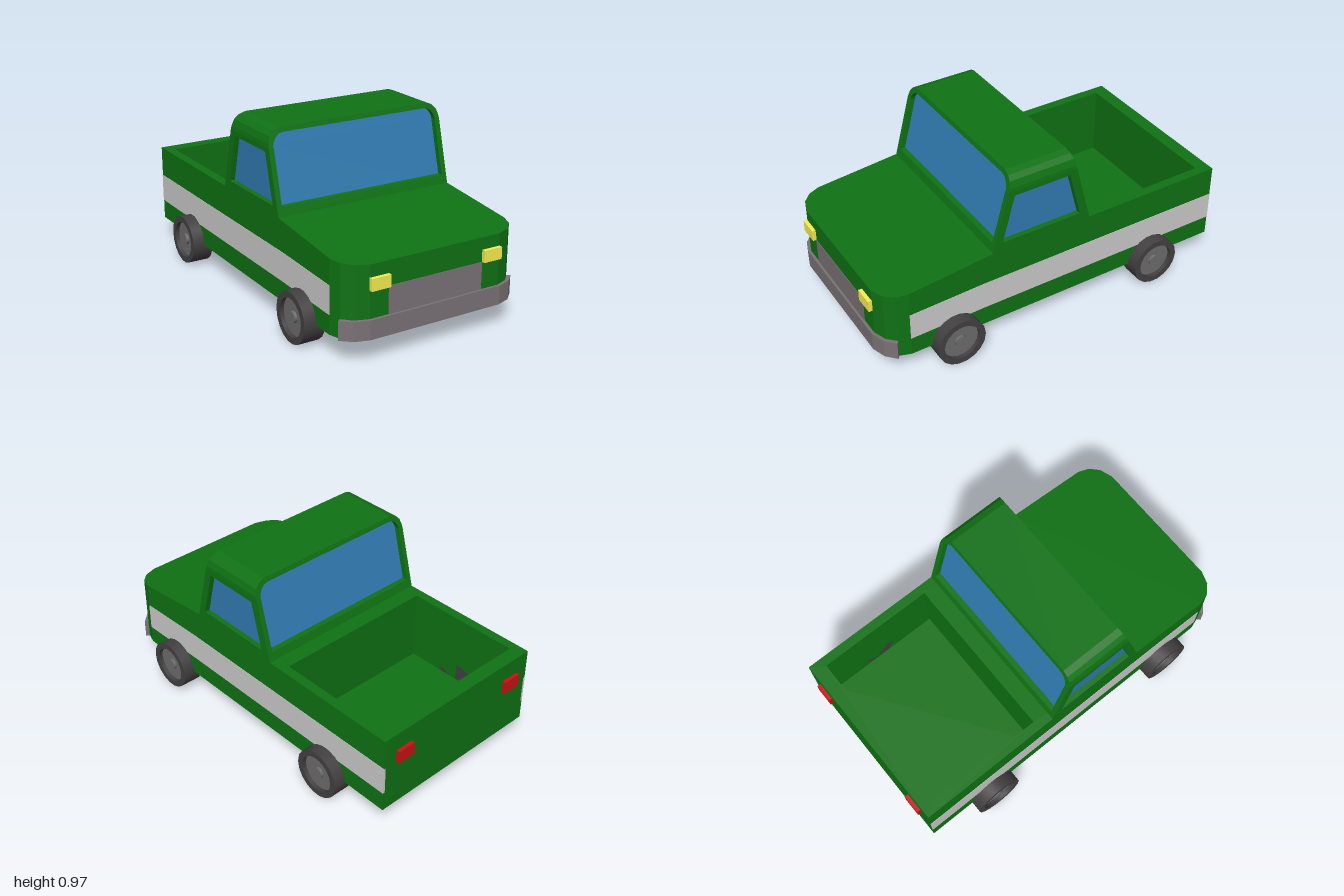
import * as THREE from 'three';
import { toCreasedNormals } from 'three/addons/utils/BufferGeometryUtils.js';

const mat = (color) => new THREE.MeshStandardMaterial({ color });
const paint = mat(0x0f7214), glassMat = mat(0x307bb2), greyMat = mat(0x7a7276), stripeMat = mat(0xcccccc);
const tyreMat = mat(0x434041), rimMat = mat(0x6c6c6c), yellow = mat(0xf6ee52), red = mat(0xc81212);

const W = 0.505, BASE = 0.13, DECK = 0.555, COWL = 0.385, TAIL = -0.98;

const poly = (pts) => pts.map(([a, b]) => new THREE.Vector2(a, b));
const mirrored = (half) => [...half, ...half.map(([x, y]) => [-x, y]).reverse()];

function extrude(outline, depth, hole) {
  const shape = new THREE.Shape(poly(outline));
  if (hole) shape.holes.push(new THREE.Path(poly(hole)));
  return new THREE.ExtrudeGeometry(shape, { depth, bevelEnabled: false });
}

// Plan outline in (x, z), raised from y0 to y1
function raise(outline, y0, y1, hole) {
  return extrude(outline, y1 - y0, hole).rotateX(Math.PI / 2).translate(0, y1, 0);
}

// Side outline in (z, y), filling x0 to x1
function sidePlate(outline, x0, x1, hole) {
  return extrude(outline, x1 - x0, hole).rotateY(-Math.PI / 2).translate(x1, 0, 0);
}

function reshape(geometry, rule) {
  const p = geometry.attributes.position, v = new THREE.Vector3();
  for (let i = 0; i < p.count; i++) {
    rule(v.fromBufferAttribute(p, i));
    p.setXYZ(i, v.x, v.y, v.z);
  }
  geometry.computeVertexNormals();
  return geometry;
}

// Front outline in (x, y), stretched along z between the leaning screens
function cabPart(outline, inset = 0) {
  return reshape(extrude(outline, 2).translate(0, 0, -1), (v) => {
    v.z = 0.1025 + v.z * (0.2825 - (v.y - DECK) * 0.265 - inset);
  });
}

function wheel() {
  const g = new THREE.Group();
  g.name = 'wheel';
  const lathe = (pts) => toCreasedNormals(
    new THREE.LatheGeometry(poly(pts), 18).rotateZ(-Math.PI / 2), 0.6);
  const add = (name, geo, m) => {
    const mesh = new THREE.Mesh(geo, m);
    mesh.name = name;
    g.add(mesh);
  };
  add('tyre', lathe([[0, -0.0575], [0.133, -0.0575], [0.133, 0.0575], [0.1, 0.0575], [0.1, 0.03]]), tyreMat);
  add('rim', lathe([[0.1, 0.035], [0.03, 0.035], [0.03, 0.05], [0, 0.05]]), rimMat);
  return g;
}

export function createModel() {
  const truck = new THREE.Group();
  truck.name = 'pickupTruck';
  const add = (name, geometry, material) => {
    const m = new THREE.Mesh(geometry, material);
    m.name = name;
    truck.add(m);
    return m;
  };
  const box = (name, material, x0, x1, y0, y1, z0, z1) => add(name,
    new THREE.BoxGeometry(x1 - x0, y1 - y0, z1 - z0)
      .translate((x0 + x1) / 2, (y0 + y1) / 2, (z0 + z1) / 2), material);
  const rect = (x, z0, z1) => [[-x, z0], [x, z0], [x, z1], [-x, z1]];

  // Rear body with open load bed
  add('rearBody', raise(rect(W, TAIL, COWL), BASE, DECK, rect(0.455, -0.905, -0.265)), paint);
  box('bedFloor', paint, -0.455, 0.455, BASE, 0.17, -0.905, -0.265);

  // Nose with rounded corners and sloping hood
  const nose = mirrored([[W, COWL], [W, 0.85], [0.485, 0.91], [0.44, 0.955], [0.37, 0.98]]);
  add('noseAndHood', reshape(raise(nose, BASE, DECK), (v) => {
    if (v.y > 0.5) v.y -= Math.max(0, v.z - COWL) * 0.1;
  }), paint);

  // Cab: roof arch, sills, side panels and a glass core behind the openings
  const outer = [[W, 0.88], [0.503, 0.9], [0.492, 0.935], [0.47, 0.958], [0.435, 0.97]];
  const inner = [[0.48, 0.88], [0.475, 0.9], [0.46, 0.925], [0.44, 0.94], [0.415, 0.945]];
  add('roofArch', cabPart([...mirrored(outer), ...mirrored(inner).reverse()]), paint);
  add('windowSills', cabPart(rect(0.48, DECK, 0.6)), paint);
  add('glass', cabPart(mirrored([[0.477, DECK], ...inner.map(([x, y]) => [Math.min(x, 0.477), y])]), 0.03), glassMat);

  const panel = [[-0.18, DECK], [0.385, DECK], [0.2989, 0.88], [-0.0939, 0.88]];
  const opening = [[-0.12, 0.6], [0.33, 0.6], [0.263, 0.855], [-0.052, 0.855]];
  const stripe = [[TAIL, 0.237], [0.43, 0.237], [0.85, 0.23], [0.85, 0.377], [0.43, 0.39], [TAIL, 0.39]];

  for (const s of [1, -1]) {
    const side = s > 0 ? 'left' : 'right';
    const span = (a, b) => (s > 0 ? [a, b] : [-b, -a]);
    add(side + 'CabSide', sidePlate(panel, ...span(0.477, W), opening), paint);
    add(side + 'Stripe', sidePlate(stripe, ...span(W - 0.01, W + 0.002)), stripeMat);
    box(side + 'Headlight', yellow, ...span(0.268, 0.373), 0.37, 0.432, 0.96, 1);
    box(side + 'TailLight', red, ...span(0.325, 0.428), 0.39, 0.46, -1, -0.97);
    for (const z of [0.603, -0.5875]) {
      const w = wheel();
      w.name = side + (z > 0 ? 'FrontWheel' : 'RearWheel');
      w.position.set(s * 0.5125, 0.133, z);
      if (s < 0) w.rotation.y = Math.PI;
      truck.add(w);
    }
  }

  // Grille and wraparound bumper
  box('grille', greyMat, -0.268, 0.268, 0.225, 0.37, 0.96, 0.983);
  const bumper = [...mirrored([[0.502, 0.922], [0.45, 0.97], [0.375, 0.995]]),
    ...mirrored([[0.475, 0.9], [0.43, 0.94], [0.36, 0.965]]).reverse()];
  add('frontBumper', raise(bumper, BASE - 0.001, 0.228), greyMat);

  return truck;
}
